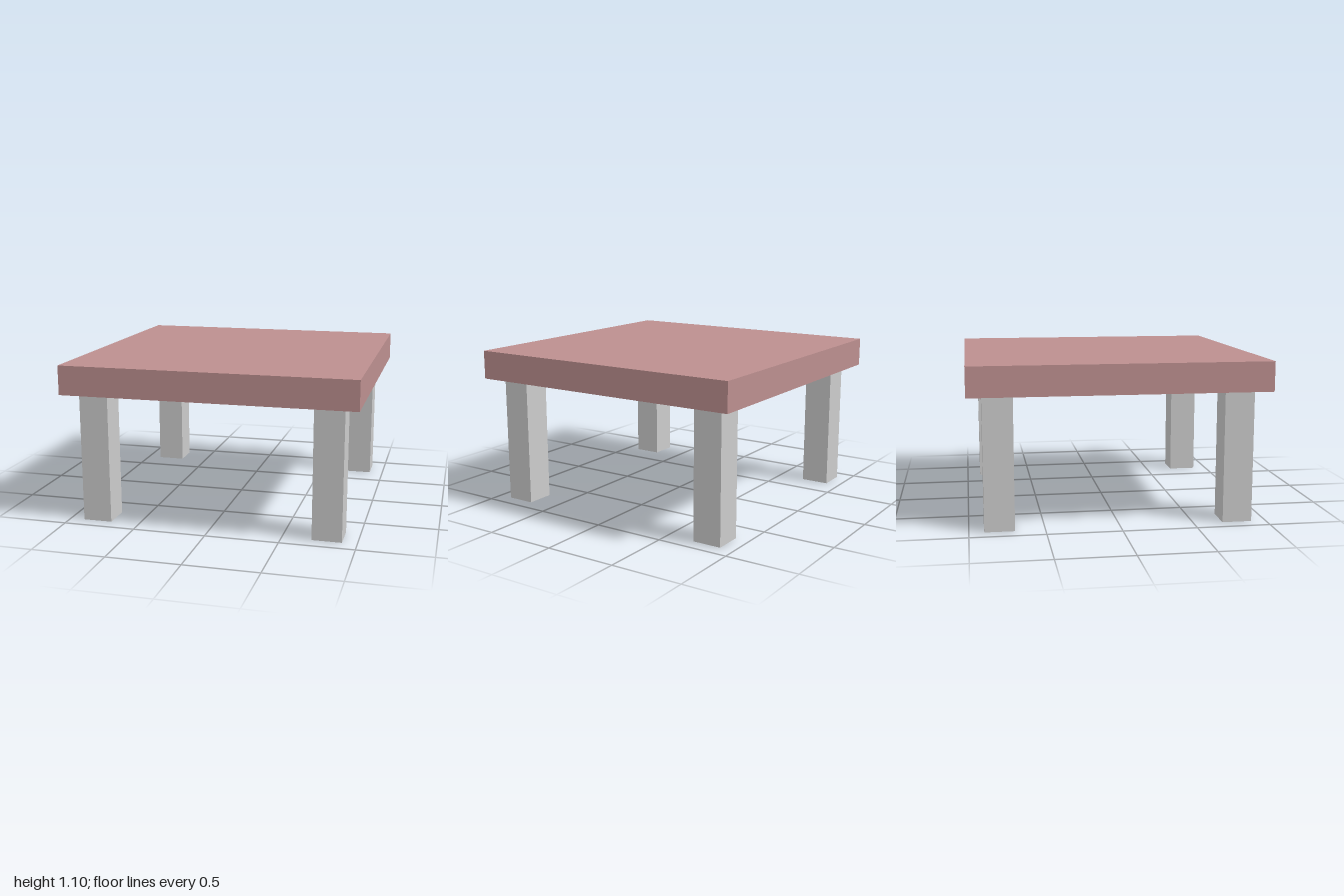
import * as THREE from 'three';

export function createModel() {
  const table = new THREE.Group();
  table.name = 'table';

  const topMaterial = new THREE.MeshStandardMaterial({ color: 0xbc8f8f });
  const legMaterial = new THREE.MeshStandardMaterial({ color: 0xcccccc });

  const topThickness = 0.2;
  const legHeight = 0.9;
  const legWidth = 0.2;
  const legOffset = 0.8;

  // Square slab top
  const tableTop = new THREE.Mesh(new THREE.BoxGeometry(2, topThickness, 2), topMaterial);
  tableTop.name = 'tableTop';
  tableTop.position.y = legHeight + topThickness / 2;
  table.add(tableTop);

  // Four square legs, set in from the corners
  const legGeometry = new THREE.BoxGeometry(legWidth, legHeight, legWidth);
  for (const [xName, x] of [['Left', 1], ['Right', -1]]) {
    for (const [zName, z] of [['front', 1], ['back', -1]]) {
      const leg = new THREE.Mesh(legGeometry, legMaterial);
      leg.name = `${zName}${xName}Leg`;
      leg.position.set(x * legOffset, legHeight / 2, z * legOffset);
      table.add(leg);
    }
  }

  return table;
}
